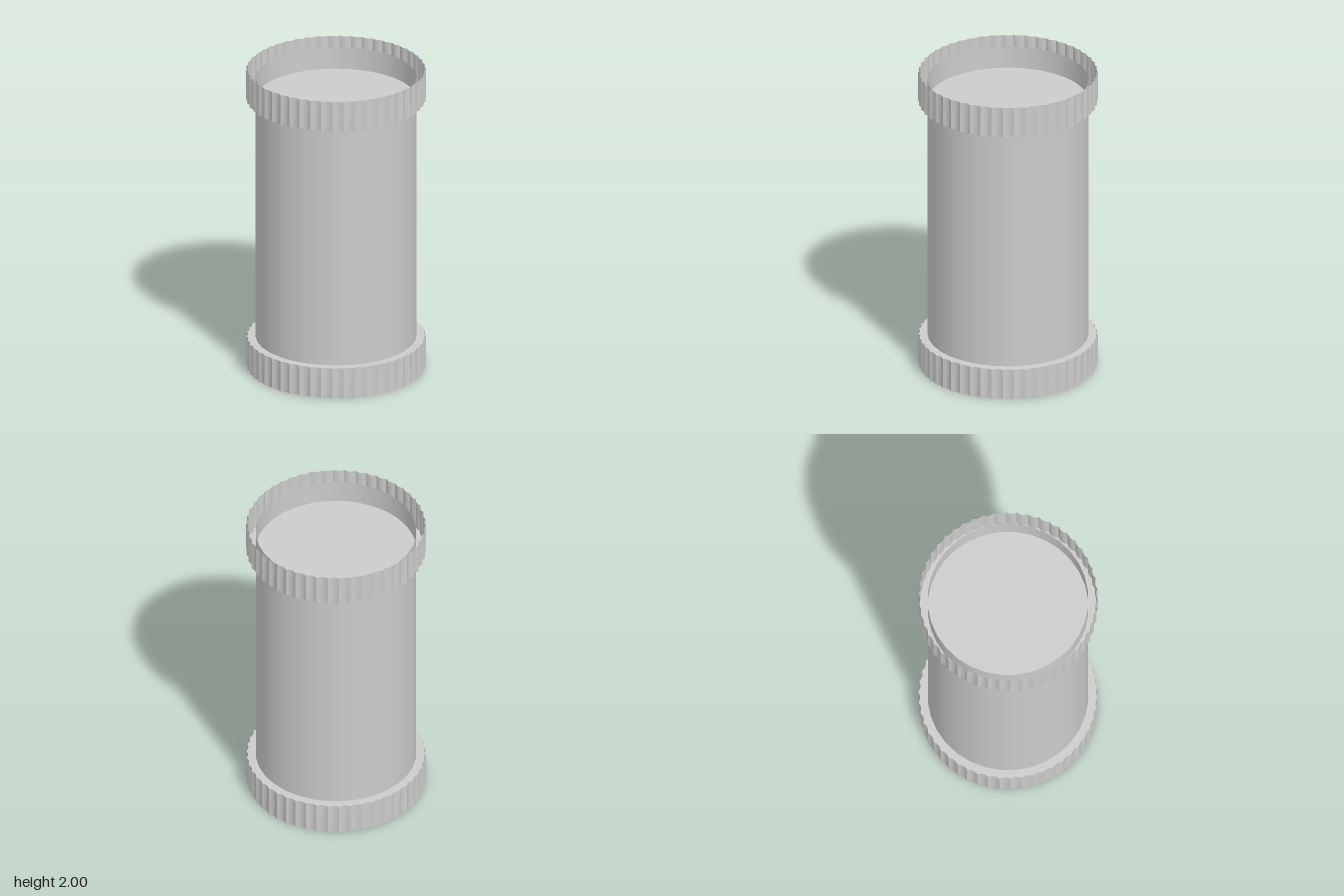
import * as THREE from 'three';
import { toCreasedNormals } from 'three/addons/utils/BufferGeometryUtils.js';

const FLUTES = 50, STEPS = 4;
const material = new THREE.MeshStandardMaterial({ color: 0xcccccc, side: THREE.DoubleSide });

// Radius of the scalloped cap edge: sharp peaks with shallow hollows between
function capRadius(angle) {
  return 0.563 - 0.012 * Math.abs(Math.sin(angle * FLUTES / 2));
}

function addMesh(parent, name, geometry, y) {
  const mesh = new THREE.Mesh(geometry, material);
  mesh.name = name;
  mesh.position.y = y;
  parent.add(mesh);
  return mesh;
}

// Fluted thin wall, open at both ends
function fluteWall() {
  const geometry = new THREE.CylinderGeometry(1, 1, 0.2, FLUTES * STEPS, 1, true, Math.PI / 2);
  const p = geometry.attributes.position;
  for (let i = 0; i < p.count; i++) {
    const r = capRadius(Math.atan2(p.getZ(i), p.getX(i)));
    p.setX(i, p.getX(i) * r);
    p.setZ(i, p.getZ(i) * r);
  }
  return toCreasedNormals(geometry, 0.5);
}

// Flat scalloped plate closing the inner side of a cap
function capPlate() {
  const points = [];
  for (let i = 0; i < FLUTES * STEPS; i++) {
    const a = i / (FLUTES * STEPS) * Math.PI * 2, r = capRadius(a);
    points.push(new THREE.Vector2(Math.cos(a) * r, Math.sin(a) * r));
  }
  return new THREE.ShapeGeometry(new THREE.Shape(points)).rotateX(-Math.PI / 2);
}

export function createModel() {
  const model = new THREE.Group();
  model.name = 'cappedTube';

  // Open tube that passes slightly through both cap plates
  const bottom = 0.13, top = 1.945;
  addMesh(model, 'tube', new THREE.CylinderGeometry(0.505, 0.505, top - bottom, 32, 1, true), (top + bottom) / 2);

  // Hollow caps, open outward
  for (const [name, wallY, plateY] of [['bottomCap', 0.1, 0.2], ['topCap', 1.9, 1.8]]) {
    const cap = new THREE.Group();
    cap.name = name;
    addMesh(cap, 'flutedWall', fluteWall(), wallY);
    addMesh(cap, 'plate', capPlate(), plateY);
    model.add(cap);
  }
  return model;
}
